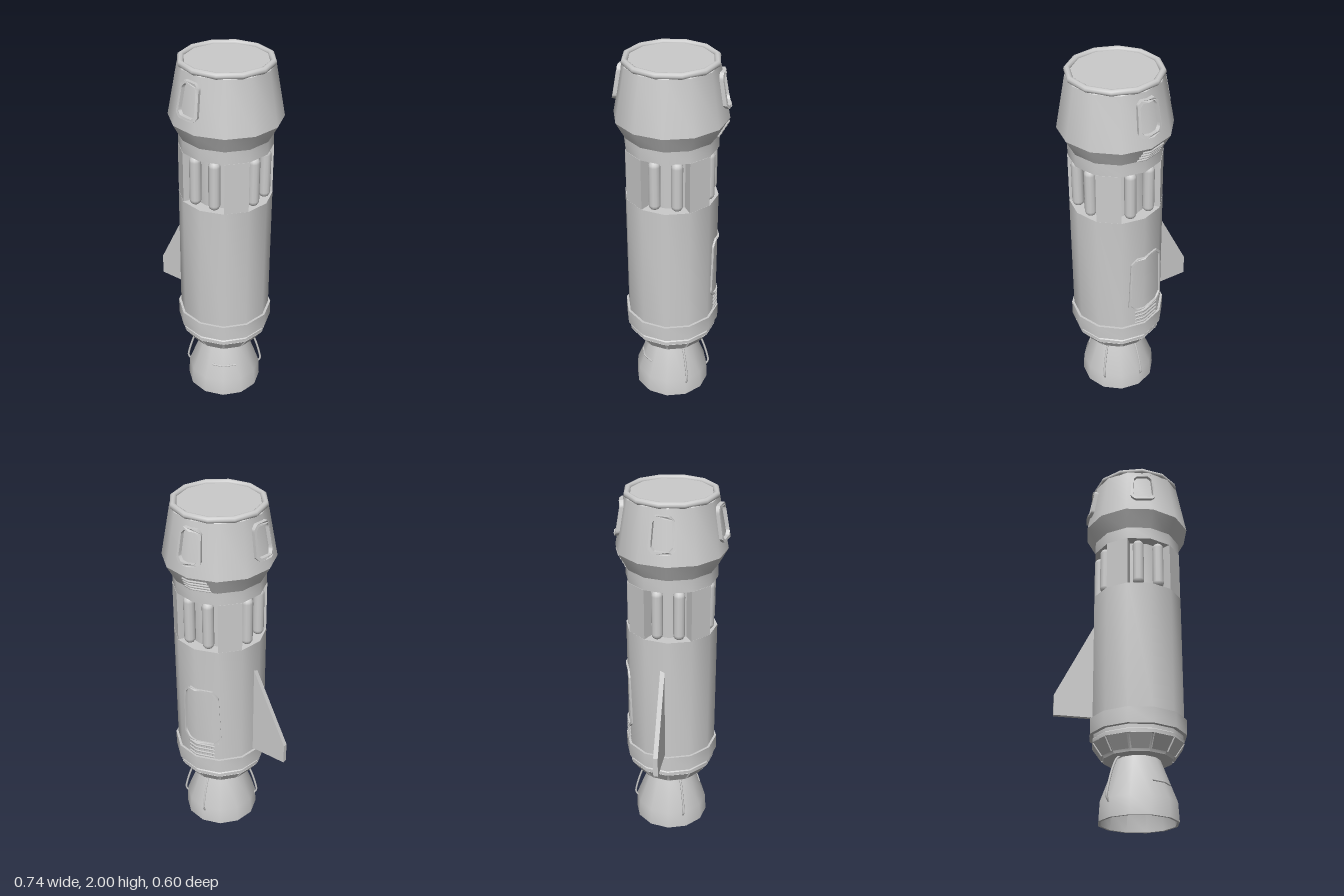
import * as THREE from 'three';
import { toCreasedNormals } from 'three/addons/utils/BufferGeometryUtils.js';

const SIDES = 12, STEP = Math.PI / 6, TURN = THREE.MathUtils.degToRad(5);
const rad = THREE.MathUtils.degToRad;
const grey = new THREE.MeshStandardMaterial({ color: 0xcccccc, side: THREE.DoubleSide });

// radius of the twelve-sided hull at angle phi (0 = front, 90 degrees = +x)
const hullRadius = (r, phi) => {
  const d = THREE.MathUtils.euclideanModulo(phi - TURN, STEP) - STEP / 2;
  return r * Math.cos(STEP / 2) / Math.cos(d);
};
const polar = (r, y, phi) => new THREE.Vector3(r * Math.sin(phi), y, r * Math.cos(phi));

export function createModel() {
  const group = new THREE.Group();
  const rocket = new THREE.Group();
  rocket.name = 'rocket';
  rocket.position.set(0.08, 0, 0.002);
  group.add(rocket);

  const add = (name, geometry) => {
    const mesh = new THREE.Mesh(geometry, grey);
    mesh.name = name;
    rocket.add(mesh);
    return mesh;
  };
  const turned = (name, profile, crease = 0.6) => add(name, toCreasedNormals(
    new THREE.LatheGeometry(profile.map(p => new THREE.Vector2(...p)), SIDES, TURN), crease));

  // bend a flat piece (x along the hull, y up, z outward) round the hull
  const wrap = (geometry, phi0, radiusAt) => {
    const p = geometry.attributes.position;
    for (let i = 0; i < p.count; i++) {
      const y = p.getY(i), r = radiusAt(y), phi = phi0 + p.getX(i) / r;
      const v = polar(hullRadius(r, phi) + p.getZ(i), y, phi);
      p.setXYZ(i, v.x, v.y, v.z);
    }
    return toCreasedNormals(geometry, 0.6);
  };

  // raised border: tapered outline with cut corners
  const border = (bottom, top, low, high, cut, width, depth) => {
    const mid = (low + high) / 2;
    const half = [[bottom - cut, low], [bottom, low + cut], [top, high - cut], [top - cut, high]];
    const outline = [...half, ...half.map(([x, y]) => [-x, y]).reverse()];
    const loop = (sx, sy) => {
      const pts = outline.map(([x, y]) => new THREE.Vector2(x * sx, mid + (y - mid) * sy));
      pts.push(pts[0].clone());
      return new THREE.Path(pts).getSpacedPoints(64).slice(0, -1);
    };
    const shape = new THREE.Shape(loop(1, 1));
    shape.holes.push(new THREE.Path(loop(1 - width / bottom, 1 - 2 * width / (high - low))));
    const geometry = new THREE.ExtrudeGeometry(shape, { depth: depth + 0.01, bevelEnabled: false });
    return geometry.translate(0, 0, -0.01);
  };

  // thin rib following the hull
  const rib = (name, phi0, half, r, y, thick) => {
    const pts = [];
    for (let i = 0; i <= 10; i++) {
      const phi = phi0 + half * (i / 5 - 1);
      pts.push(polar(hullRadius(r, phi) + thick * 0.5, y, phi));
    }
    add(name, new THREE.TubeGeometry(new THREE.CatmullRomCurve3(pts), 16, thick, 6));
  };

  // engine bell, hollow
  turned('nozzle', [[0, 0.3], [0.1, 0.3], [0.19, 0.1], [0.197, 0], [0.21, 0], [0.204, 0.1], [0.116, 0.33]]);

  // hull sections
  turned('skirt', [[0, 0.325], [0.185, 0.325], [0.19, 0.34], [0.238, 0.41]], 0.3);
  turned('skirtRim', [[0.23, 0.405], [0.246, 0.405], [0.246, 0.425], [0.24, 0.43], [0.24, 0.455]]);
  turned('lowerBand', [[0.235, 0.45], [0.261, 0.45], [0.261, 0.535], [0.245, 0.535]]);
  turned('mainBody', [[0.248, 0.53], [0.248, 1.25], [0.17, 1.25]]);
  turned('innerCore', [[0.185, 1.24], [0.185, 1.54]]);
  turned('neck', [[0.17, 1.53], [0.245, 1.53], [0.245, 1.61]]);
  turned('flare', [[0.24, 1.59], [0.295, 1.69]]);
  turned('capsule', [[0.295, 1.69], [0.243, 1.97]]);
  turned('topDisc', [[0.243, 1.97], [0.225, 1.985], [0, 1.985]]);
  const lip = add('topRing', new THREE.TorusGeometry(0.231, 0.017, 10, SIDES));
  lip.rotation.set(Math.PI / 2, 0, TURN);
  lip.position.y = 1.983;

  // raised plates round the skirt
  const plate = new THREE.Shape([[-0.043, -0.04], [0.043, -0.04], [0.056, 0.043], [-0.056, 0.043]]
    .map(p => new THREE.Vector2(...p)));
  for (let i = 0; i < SIDES; i++) {
    const phi = TURN + STEP * (i + 0.5);
    const mesh = add('skirtPlate', new THREE.ExtrudeGeometry(plate, { depth: 0.008, bevelEnabled: false }));
    mesh.position.copy(polar(0.208, 0.374, phi));
    mesh.rotation.set(Math.atan2(0.048, 0.07), phi, 0, 'YXZ');
  }

  // four pillars with open bays between, two tanks in each bay
  for (let k = 0; k < 4; k++) {
    const bay = TURN + k * Math.PI / 2;
    const corner = (r, n) => new THREE.Vector2(r * Math.sin(bay + n * STEP), -r * Math.cos(bay + n * STEP));
    const section = new THREE.Shape([corner(0.18, 1), corner(0.18, 2), corner(0.247, 2), corner(0.247, 1)]);
    const pillar = add('pillar', new THREE.ExtrudeGeometry(section, { depth: 0.28, bevelEnabled: false }));
    pillar.rotation.x = -Math.PI / 2;
    pillar.position.y = 1.25;
    for (const side of [-1, 1]) {
      const tank = add('tank', new THREE.CapsuleGeometry(0.031, 0.215, 4, 12));
      tank.position.set(side * 0.057, 1.39, 0.201).applyAxisAngle(new THREE.Vector3(0, 1, 0), bay);
    }
  }

  // window frames on the front, back and right of the capsule
  const capsuleRadius = y => 0.295 - (y - 1.69) * 0.186;
  for (const phi of [-5.5, 185.5, 270]) {
    add('windowFrame', wrap(border(0.068, 0.058, 1.755, 1.94, 0.022, 0.014, 0.02), rad(phi), capsuleRadius));
  }

  // rear hatch with vents below it and under the capsule
  const hatch = rad(191);
  add('hatchFrame', wrap(border(0.118, 0.105, 0.635, 1.0, 0.035, 0.011, 0.01), hatch, () => 0.248));
  for (let i = 0; i < 4; i++) {
    rib('hatchVent', hatch, rad(18), 0.25, 0.55 + i * 0.025, 0.006);
    rib('flareVent', hatch, rad(17 - i), 0.252 + i * 0.011, 1.61 + i * 0.02, 0.006);
  }

  // side fin
  const finShape = new THREE.Shape([[-0.45, 0.545], [-0.22, 0.545], [-0.22, 1.12], [-0.245, 1.07], [-0.45, 0.66]]
    .map(p => new THREE.Vector2(...p)));
  add('fin', new THREE.ExtrudeGeometry(finShape, { depth: 0.025, bevelEnabled: false }).translate(0, 0, -0.018));

  // fuel pipes looping out beside the nozzle, and a short weld rib
  for (const phi of [127, 188, 300]) {
    const path = [[0.11, 0.335], [0.145, 0.315], [0.175, 0.26], [0.208, 0.15], [0.214, 0.105], [0.2, 0.08]];
    add('fuelPipe', new THREE.TubeGeometry(
      new THREE.CatmullRomCurve3(path.map(([r, y]) => polar(r, y, rad(phi)))), 24, 0.006, 6));
  }
  rib('nozzleRib', rad(36), rad(24), 0.17, 0.185, 0.005);

  return group;
}
